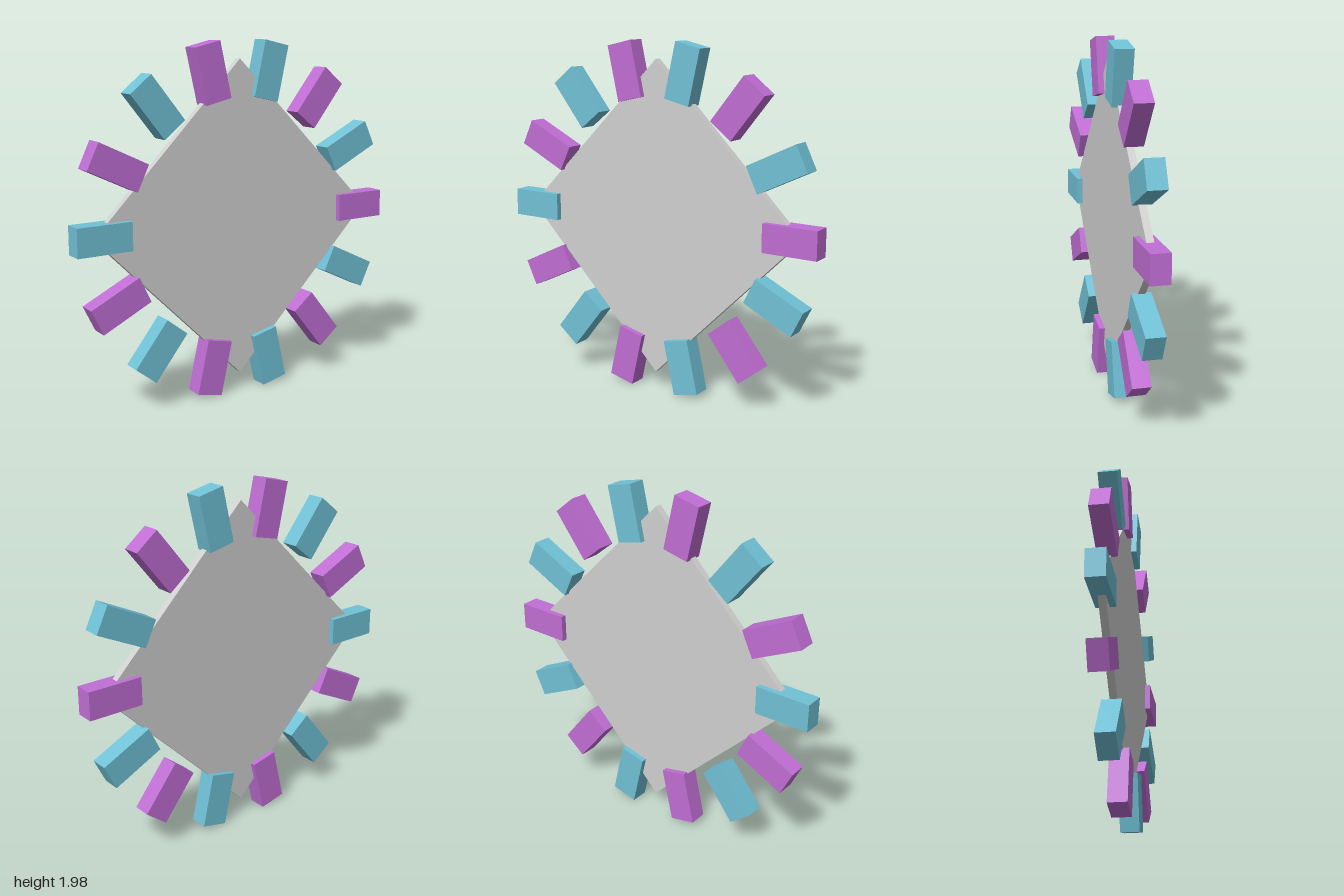
import * as THREE from 'three';

const COUNT = 14, CENTER_Y = 0.992, RADIUS = 0.843;

export function createModel() {
  const group = new THREE.Group();
  const grey = new THREE.MeshStandardMaterial({ name: 'lightGrey', color: 0xd0d0d0 });
  const purple = new THREE.MeshStandardMaterial({ name: 'orchidPurple', color: 0xc06ed4 });
  const cyan = new THREE.MeshStandardMaterial({ name: 'softCyan', color: 0x70c1d6 });

  // Thin diamond plate: a four-sided prism with its corners on the axes
  const r = 0.893, depth = 0.04;
  const diamond = new THREE.Shape([
    new THREE.Vector2(r, 0), new THREE.Vector2(0, r),
    new THREE.Vector2(-r, 0), new THREE.Vector2(0, -r),
  ]);
  const plateGeometry = new THREE.ExtrudeGeometry(diamond, { depth, bevelEnabled: false });
  plateGeometry.translate(0, 0, -depth / 2);
  const plate = new THREE.Mesh(plateGeometry, grey);
  plate.name = 'diamondPlate';
  plate.position.y = CENTER_Y;
  group.add(plate);

  // Ring of radial blocks in alternating colours
  const blockGeometry = new THREE.BoxGeometry(0.314, 0.157, 0.105);
  for (let i = 0; i < COUNT; i++) {
    const angle = (i / COUNT) * Math.PI * 2;
    const block = new THREE.Mesh(blockGeometry, i % 2 ? cyan : purple);
    block.name = `rimBlock${i + 1}`;
    block.position.set(RADIUS * Math.cos(angle), CENTER_Y + RADIUS * Math.sin(angle), 0);
    block.rotation.z = angle;
    group.add(block);
  }
  return group;
}
